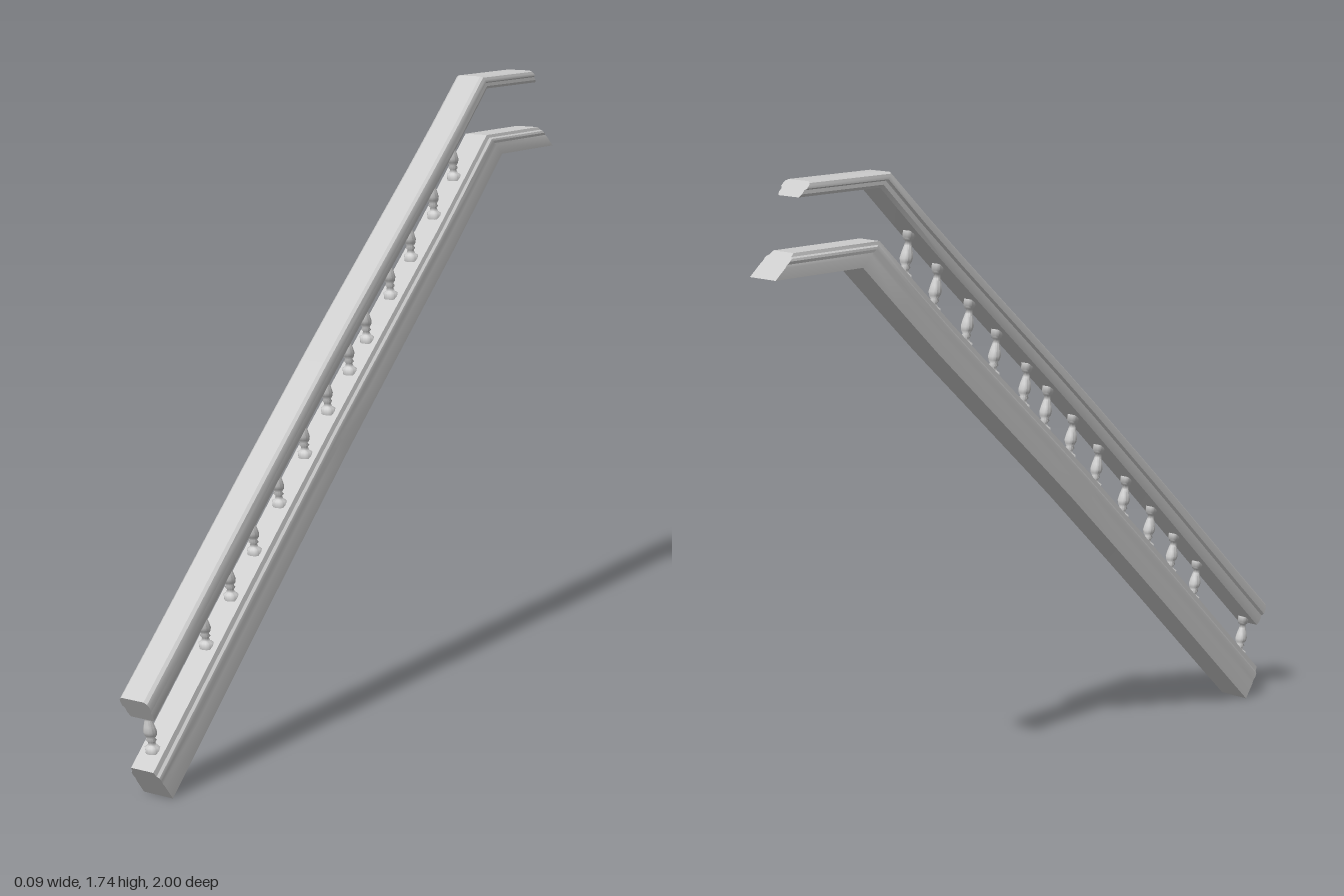
import * as THREE from 'three';
import { toCreasedNormals } from 'three/addons/utils/BufferGeometryUtils.js';

const MATERIAL = new THREE.MeshStandardMaterial({ color: 0xcccccc });

// Slight bow of the sloped run, as [z, rise] pairs
const BOW = [[-0.6, 0], [-0.4, -0.005], [-0.15, 0.004], [0.15, 0.014], [0.5, 0.012], [0.95, 0]];

// Top edge of each beam: z, y, then the offset (dz, dy) from top to underside
const RAIL = { start: [1.0, 0.28, -0.04, -0.06], bend: [-0.59, 1.74, -0.037, -0.037], end: [-0.87, 1.74, -0.035, -0.037] };
const STRINGER = { start: [0.965, 0.085, -0.065, -0.085], bend: [-0.63, 1.568, -0.07, -0.06], end: [-0.925, 1.568, -0.07, -0.06] };

// Half sections: x, then fraction of the way down
const RAIL_SECTION = [[0.036, 0], [0.044, 0.1], [0.047, 0.25], [0.047, 0.45], [0.041, 0.55], [0.042, 0.8], [0.037, 1]];
const STRINGER_SECTION = [[0.036, 0], [0.039, 0.14], [0.045, 0.2], [0.047, 0.3], [0.045, 0.42], [0.047, 0.54], [0.047, 1]];

function bowAt(z) {
  for (let i = 1; i < BOW.length; i++) {
    const [z0, a] = BOW[i - 1], [z1, b] = BOW[i];
    if (z >= z0 && z <= z1) return a + (b - a) * (z - z0) / (z1 - z0);
  }
  return 0;
}

// Station on the sloped run, k = 0 at the foot and 1 at the bend
function station(beam, k) {
  const s = beam.start.map((v, i) => v + (beam.bend[i] - v) * k);
  s[1] += bowAt(s[0]);
  return s;
}

// Height of a beam's top (t = 0) or underside (t = 1) at a given z
function heightAt(beam, z, t) {
  const z0 = beam.start[0] + t * beam.start[2], z1 = beam.bend[0] + t * beam.bend[2];
  const s = station(beam, (z - z0) / (z1 - z0));
  return s[1] + t * s[3];
}

// Beam swept up the slope and along the level landing
function beamMesh(name, beam, half) {
  const section = [...half, ...half.slice().reverse().map(([x, t]) => [-x, t])];
  const stations = [];
  for (let i = 0; i < 12; i++) stations.push(station(beam, i / 12));
  stations.push(beam.bend, beam.end);
  const place = ([x, t], [z, y, dz, dy]) => [x, y + t * dy, z + t * dz];
  const rings = stations.map((s) => section.map((p) => place(p, s)));
  const n = section.length, last = rings.length - 1, pos = [];
  for (let j = 0; j < n; j++) {
    const k = (j + 1) % n;
    for (let i = 0; i < last; i++) {
      const a = rings[i][j], b = rings[i][k], c = rings[i + 1][k], d = rings[i + 1][j];
      pos.push(...a, ...b, ...c, ...a, ...c, ...d);
    }
    pos.push(...place([0, 0.5], stations[0]), ...rings[0][k], ...rings[0][j]);
    pos.push(...place([0, 0.5], stations[last]), ...rings[last][j], ...rings[last][k]);
  }
  const geo = new THREE.BufferGeometry();
  geo.setAttribute('position', new THREE.Float32BufferAttribute(pos, 3));
  const mesh = new THREE.Mesh(toCreasedNormals(geo, 0.5), MATERIAL);
  mesh.name = name;
  return mesh;
}

// Turned baluster profile: radius, then fraction of the height
const TURNING = [
  [0, -0.08], [0.02, -0.08], [0.02, 0.08], [0.012, 0.12], [0.009, 0.2], [0.014, 0.25], [0.01, 0.3],
  [0.016, 0.38], [0.018, 0.47], [0.015, 0.6], [0.01, 0.75], [0.008, 0.84], [0.014, 0.87],
  [0.014, 0.91], [0.018, 0.94], [0.018, 1.08], [0, 1.08],
].map(([r, h]) => new THREE.Vector2(r, h));
const TURNED = toCreasedNormals(new THREE.LatheGeometry(TURNING, 12), 0.6);

// Baluster leaning slightly forward from stringer to rail
function baluster(z) {
  const zTop = z + 0.022;
  const y0 = heightAt(STRINGER, z, 0), y1 = heightAt(RAIL, zTop, 1);
  const geo = TURNED.clone();
  geo.applyMatrix4(new THREE.Matrix4().set(
    1, 0, 0, 0,
    0, y1 - y0, 0, y0,
    0, zTop - z, 1, z,
    0, 0, 0, 1,
  ));
  const mesh = new THREE.Mesh(geo, MATERIAL);
  mesh.name = 'baluster';
  return mesh;
}

export function createModel() {
  const group = new THREE.Group();
  group.name = 'stairRailing';
  group.add(beamMesh('handrail', RAIL, RAIL_SECTION));
  group.add(beamMesh('stringer', STRINGER, STRINGER_SECTION));

  // Balusters, with a wider gap after the first
  const balusters = new THREE.Group();
  balusters.name = 'balusters';
  const feet = [0.92, 0.69, 0.58, 0.475, 0.36, 0.24, 0.13, 0.025, -0.06, -0.18, -0.285, -0.405, -0.51];
  feet.forEach((z) => balusters.add(baluster(z)));
  group.add(balusters);
  return group;
}
